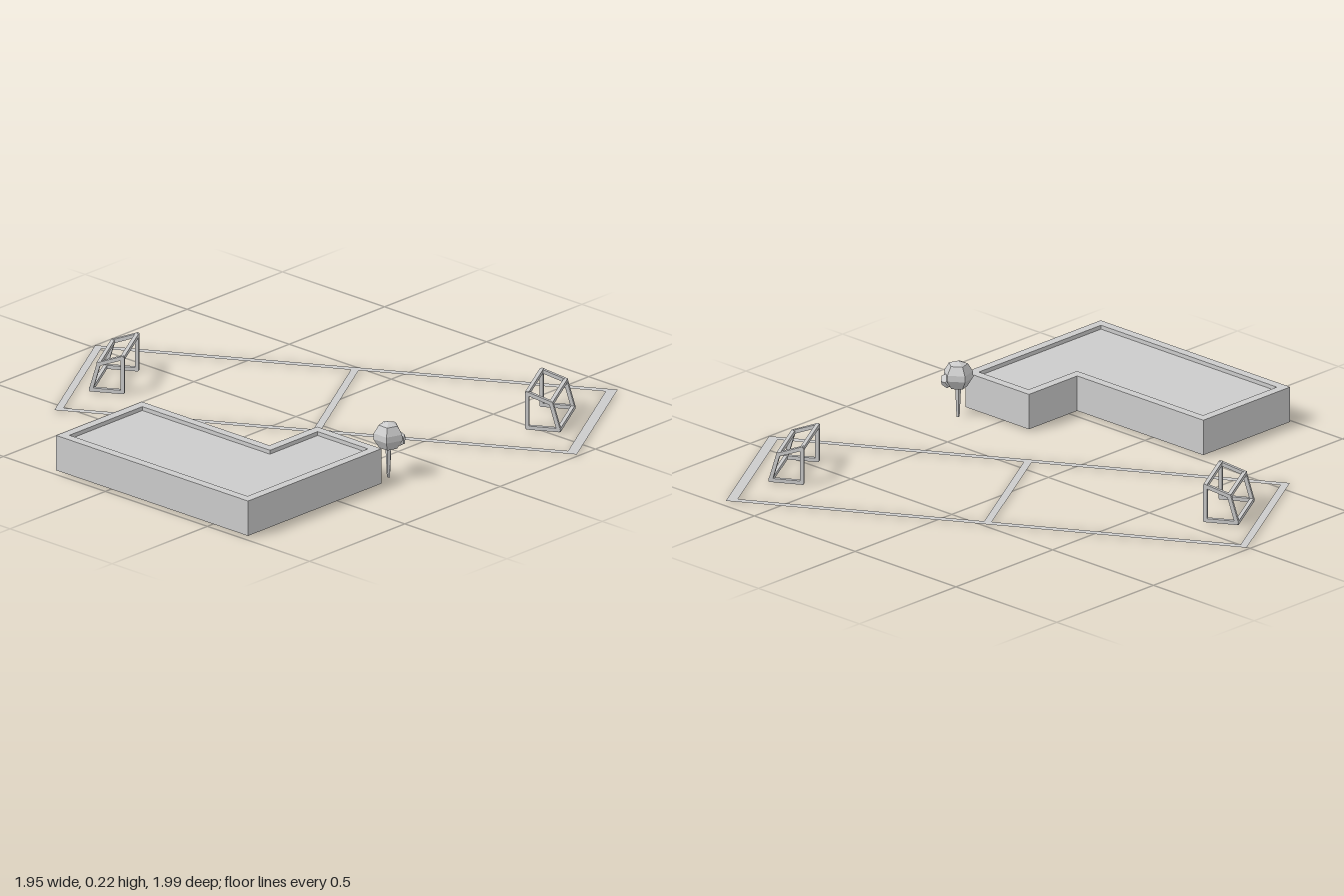
import * as THREE from 'three';

const mat = new THREE.MeshStandardMaterial({ color: 0xcccccc, flatShading: true, side: THREE.DoubleSide });

function add(parent, geometry, name, x = 0, y = 0, z = 0) {
  const mesh = new THREE.Mesh(geometry, mat);
  mesh.name = name;
  mesh.position.set(x, y, z);
  parent.add(mesh);
  return mesh;
}

// Square bar running between two points
function bar(parent, a, b, name, t = 0.014) {
  const from = new THREE.Vector3(...a), to = new THREE.Vector3(...b);
  const mesh = add(parent, new THREE.BoxGeometry(t, t, from.distanceTo(to) + t * 0.6), name);
  mesh.position.copy(from).lerp(to, 0.5);
  mesh.lookAt(to);
}

// Horizontal sheet from an outline of [x, z] points, with an optional hole
function sheet(outline, hole) {
  const toPoints = pts => pts.map(([x, z]) => new THREE.Vector2(x, -z));
  const shape = new THREE.Shape(toPoints(outline));
  if (hole) shape.holes.push(new THREE.Path(toPoints(hole)));
  return new THREE.ShapeGeometry(shape).rotateX(-Math.PI / 2);
}

// Upright panels along a closed outline; the outline runs so that they face outward
function walls(parent, outline, y0, y1, name) {
  outline.forEach(([x0, z0], i) => {
    const [x1, z1] = outline[(i + 1) % outline.length];
    const panel = add(parent, new THREE.PlaneGeometry(Math.hypot(x1 - x0, z1 - z0), y1 - y0), name,
      (x0 + x1) / 2, (y0 + y1) / 2, (z0 + z1) / 2);
    panel.rotation.y = Math.atan2(z0 - z1, x1 - x0);
  });
}

// L-shaped hall, open below, with a roof sunk inside a flat rim
function createBuilding() {
  const group = new THREE.Group();
  group.name = 'building';
  const footprint = inset => {
    const l = -0.98 + inset, b = -0.26 + inset, f = 0.68 - inset;
    const mx = -0.53 - inset, mz = 0.365 + inset, r = -0.28 - inset;
    return [[l, f], [r, f], [r, mz], [mx, mz], [mx, b], [l, b]];
  };
  const outer = footprint(0), inner = footprint(0.034);
  walls(group, outer, 0.006, 0.14, 'outerWall');
  walls(group, [...inner].reverse(), 0.125, 0.14, 'rimInnerWall');
  add(group, sheet(outer, inner), 'roofRim', 0, 0.14, 0);
  add(group, sheet(inner), 'roof', 0, 0.125, 0);
  return group;
}

// Goal with its mouth towards +z
function createGoal(name) {
  const group = new THREE.Group();
  group.name = name;
  const w = 0.114, top = 0.143, low = 0.012, front = 0.058, back = -0.058;
  for (const x of [-w, w]) {
    const side = [[low, front], [top, front], [0.112, -0.03], [low, back]].map(([y, z]) => [x, y, z]);
    const names = ['post', 'upperSideBar', 'rearSideBar', 'groundSideBar'];
    side.forEach((p, i) => bar(group, p, side[(i + 1) % 4], names[i]));
  }
  bar(group, [-w, top, front], [w, top, front], 'crossbar');
  bar(group, [-w, 0.112, -0.03], [w, 0.112, -0.03], 'rearUpperBar');
  bar(group, [-w, low, back], [w, low, back], 'groundRearBar');
  return group;
}

// Turned pitch: flat markings and two goals
function createPitch() {
  const group = new THREE.Group();
  group.name = 'pitch';
  const hx = 0.325, hz = 0.96, ix = 0.298, iz0 = -0.932, iz1 = 0.922;
  add(group, sheet(
    [[-hx, hz], [hx, hz], [hx, -hz], [-hx, -hz]],
    [[-ix, iz1], [ix, iz1], [ix, iz0], [-ix, iz0]]), 'boundaryLine', 0, 0.004, 0);
  add(group, sheet([[-ix, 0.014], [ix, 0.014], [ix, -0.014], [-ix, -0.014]]), 'halfwayLine', 0, 0.004, 0);
  const backGoal = createGoal('backGoal');
  backGoal.position.z = -0.815;
  const frontGoal = createGoal('frontGoal');
  frontGoal.position.set(-0.01, 0, 0.79);
  frontGoal.rotation.y = Math.PI;
  group.add(backGoal, frontGoal);
  group.position.x = 0.21;
  group.rotation.y = Math.PI / 6;
  return group;
}

// Small low-poly tree with a faceted crown on a tapering trunk
function createTree() {
  const group = new THREE.Group();
  group.name = 'tree';
  add(group, new THREE.CylinderGeometry(0.012, 0.006, 0.13, 5), 'trunk', 0, 0.065, 0);
  const profile = [[0, 0.112], [0.034, 0.115], [0.056, 0.15], [0.054, 0.172], [0.036, 0.202], [0, 0.215]];
  add(group, new THREE.LatheGeometry(profile.map(p => new THREE.Vector2(...p)), 5), 'crown').rotation.y = 0.3;
  add(group, new THREE.DodecahedronGeometry(0.03), 'crownSideClump', 0.028, 0.143, 0.02);
  group.position.set(-0.205, 0, 0.645);
  return group;
}

export function createModel() {
  const model = new THREE.Group();
  model.name = 'sportsGround';
  model.add(createBuilding(), createPitch(), createTree());
  return model;
}
